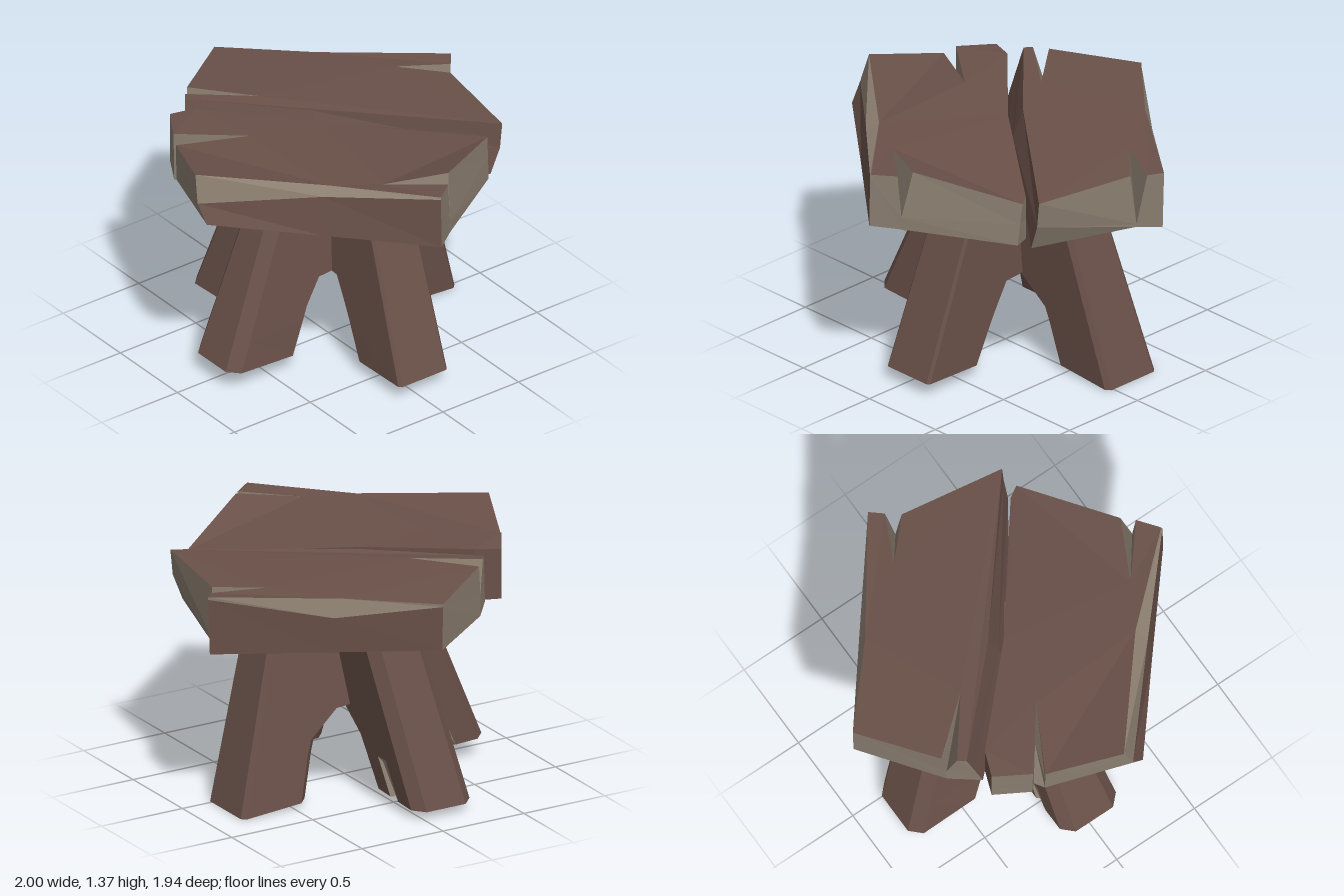
import * as THREE from 'three';

const wood = new THREE.MeshStandardMaterial({ name: 'darkWood', color: 0x6a5149 });
const grain = new THREE.MeshStandardMaterial({ name: 'endGrain', color: 0x8b7e70 });
const { lerp } = THREE.MathUtils;

// Faceted loft through rings listed top to bottom; isGrain(band, edge) picks the cut-wood colour.
// Band -1 is the top cap and band rings.length - 1 is the bottom cap.
function loft(name, rings, isGrain) {
  const faces = [[], []];
  const n = rings[0].length;
  const add = (g, a, b, c) => faces[g ? 1 : 0].push(...a, ...b, ...c);
  const area = rings[0].reduce((s, p, i) => {
    const q = rings[0][(i + 1) % n];
    return s + p[0] * q[2] - q[0] * p[2];
  }, 0);

  for (let k = 0; k < rings.length - 1; k++) {
    for (let i = 0; i < n; i++) {
      const j = (i + 1) % n;
      const [i0, j0] = area > 0 ? [j, i] : [i, j];
      const a = rings[k][i0], b = rings[k][j0];
      const c = rings[k + 1][j0], d = rings[k + 1][i0];
      if (k > 0 && c === d) continue; // closed below a split
      const g = isGrain(k, i);
      if (a !== d) add(g, a, d, c);
      if (b !== c) add(g, a, c, b);
    }
  }
  for (const [ring, up, band] of [[rings[0], 1, -1], [rings.at(-1), -1, rings.length - 1]]) {
    const flat = ring.map(p => new THREE.Vector2(p[0], p[2]));
    for (const [i, j, k] of THREE.ShapeUtils.triangulateShape(flat, [])) {
      const [a, b, c] = [ring[i], ring[j], ring[k]];
      const ny = (b[2] - a[2]) * (c[0] - a[0]) - (b[0] - a[0]) * (c[2] - a[2]);
      if (ny * up > 0) add(isGrain(band, 0), a, b, c);
      else add(isGrain(band, 0), a, c, b);
    }
  }
  const geo = new THREE.BufferGeometry();
  geo.setAttribute('position', new THREE.Float32BufferAttribute([...faces[0], ...faces[1]], 3));
  geo.addGroup(0, faces[0].length / 3, 0);
  geo.addGroup(faces[0].length / 3, faces[1].length / 3, 1);
  geo.computeVertexNormals();
  const mesh = new THREE.Mesh(geo, [wood, grain]);
  mesh.name = name;
  return mesh;
}

// Outline corner: top, bottom and optional middle point; kind describes the edge after it
const corner = (kind, top, bottom, mid) => ({
  kind, top, bottom, mid: mid || top.map((v, i) => (v + bottom[i]) / 2),
});

// Wedge-shaped split: mouth from a to b, inner tip, closing at c above the underside
function split(a, tip, b, c, bottomY) {
  const base = [c[0], bottomY, c[2]];
  return [corner('end', a, base, c), corner('end', tip, base, tip), corner('end', b, base, c)];
}

function plank(name, corners) {
  const rings = ['top', 'mid', 'bottom'].map(key => corners.map(c => c[key]));
  return loft(name, rings, (band, i) => band >= 0 && band < 2 &&
    (corners[i].kind === 'end' || (corners[i].kind === 'chamfer' && band === 0)));
}

// Splayed leg; u runs outward from the centre and v across, place() turns them into x and z
function leg(name, o) {
  const section = (y, inner, crack) => {
    const t = (y - o.foot) / (1.06 - o.foot);
    const outer = lerp(o.outer[0], o.outer[1], t);
    const v0 = lerp(o.low[0], o.low[1], t);
    const v1 = lerp(o.high[0], o.high[1], t);
    const m = lerp(inner, outer, 0.45);
    const e = o.bevel, f = o.innerBevel;
    return [
      [inner, v0 + f], [inner + f, v0], [m - 0.04, v0], [m, v0 + crack], [m + 0.04, v0],
      [outer - e, v0], [outer, v0 + e], [outer, v1 - e], [outer - e, v1],
      [inner + f, v1], [inner, v1 - f],
    ].map(([u, v]) => {
      const [x, z] = o.place(u, v);
      const tilt = t === 0 ? o.tilt * (outer - u) / (outer - inner) : 0;
      return [x, y + tilt, z];
    });
  };
  const rings = [
    section(1.06, 0, 0),
    section(0.5, 0, 0),
    section(0.49, 0.15, 0),
    section(0.35, o.knee, 0),
    section(0.27, lerp(o.knee, o.inner, 0.3), 0),
    section(o.foot, o.inner, o.crack),
  ];
  return loft(name, rings, (band, i) => band === 5 || (band === 4 && o.crack > 0 && (i === 2 || i === 3)));
}

export function createModel() {
  const model = new THREE.Group();
  model.name = 'roughWoodenStool';

  // Seat, back left half
  model.add(plank('backPlank', [
    corner('end', [-1, 1.28, 0], [-0.995, 1.02, 0], [-1, 1.265, 0]),
    ...split([-0.71, 1.32, 0.4], [-0.41, 1.32, 0.15], [-0.65, 1.33, 0.46], [-0.69, 1.14, 0.42], 1.03),
    corner('side', [-0.61, 1.33, 0.49], [-0.54, 1.04, 0.54]),
    corner('side', [-0.13, 1.31, 0], [-0.03, 1.0, 0.05]),
    corner('end', [0.5, 1.255, -0.77], [0.49, 0.965, -0.7], [0.5, 1.11, -0.755]),
    ...split([-0.08, 1.25, -0.865], [-0.28, 1.27, -0.65], [-0.15, 1.25, -0.92], [-0.11, 0.96, -0.88], 0.945),
    corner('chamfer', [-0.22, 1.26, -0.975], [-0.22, 0.935, -0.965], [-0.22, 1.245, -0.975]),
    corner('chamfer', [-0.64, 1.275, -0.4], [-0.63, 0.98, -0.46], [-0.64, 1.175, -0.455]),
  ]));

  // Seat, front right half, with one split running right through the front end
  model.add(plank('frontPlank', [
    corner('end', [-0.55, 1.32, 0.635], [-0.55, 1.04, 0.635]),
    corner('end', [-0.365, 1.33, 0.75], [-0.365, 1.045, 0.745]),
    corner('end', [-0.12, 1.32, 0.43], [-0.335, 1.06, 0.715]),
    corner('end', [-0.305, 1.3, 0.78], [-0.305, 1.085, 0.775]),
    corner('chamfer', [0.085, 1.37, 0.945], [0.2, 1.12, 0.955], [0.13, 1.22, 0.965]),
    corner('chamfer', [0.54, 1.325, 0.4], [0.59, 1.07, 0.485], [0.57, 1.295, 0.47]),
    corner('end', [0.985, 1.32, 0], [0.995, 1.02, 0.005], [0.99, 1.31, 0.005]),
    ...split([0.9, 1.32, -0.11], [0.68, 1.31, 0.155], [0.835, 1.34, -0.16], [0.89, 1.08, -0.13], 1.01),
    corner('end', [0.515, 1.22, -0.66], [0.54, 0.98, -0.65]),
    corner('side', [0.45, 1.22, -0.62], [0.45, 0.98, -0.62]),
    corner('side', [-0.05, 1.29, 0.03], [-0.05, 1.01, 0.03]),
    corner('side', [-0.5, 1.33, 0.5], [-0.5, 1.04, 0.5]),
  ]));

  // Four splayed legs meeting under the seat (pairs run foot to top)
  model.add(
    leg('frontLeg', {
      place: (u, v) => [v, u], outer: [0.78, 0.385], inner: 0.35, knee: 0.24, tilt: -0.02,
      low: [-0.17, -0.17], high: [0.19, 0.1], bevel: 0.06, innerBevel: 0.03, foot: 0.11, crack: 0.06,
    }),
    leg('backLeg', {
      place: (u, v) => [v, -u], outer: [0.82, 0.53], inner: 0.41, knee: 0.32, tilt: 0.03,
      low: [-0.32, -0.17], high: [0.04, 0.12], bevel: 0.025, innerBevel: 0.05, foot: 0.0, crack: 0,
    }),
    leg('leftLeg', {
      place: (u, v) => [u, v], outer: [0.77, 0.41], inner: 0.37, knee: 0.23, tilt: -0.01,
      low: [-0.21, -0.21], high: [0.11, 0.07], bevel: 0.015, innerBevel: 0.045, foot: 0.075, crack: 0,
    }),
    leg('rightLeg', {
      place: (u, v) => [-u, v], outer: [0.82, 0.52], inner: 0.4, knee: 0.29, tilt: 0.02,
      low: [-0.05, -0.2], high: [0.31, 0.14], bevel: 0.06, innerBevel: 0.03, foot: 0.045, crack: 0.12,
    }),
  );
  return model;
}
